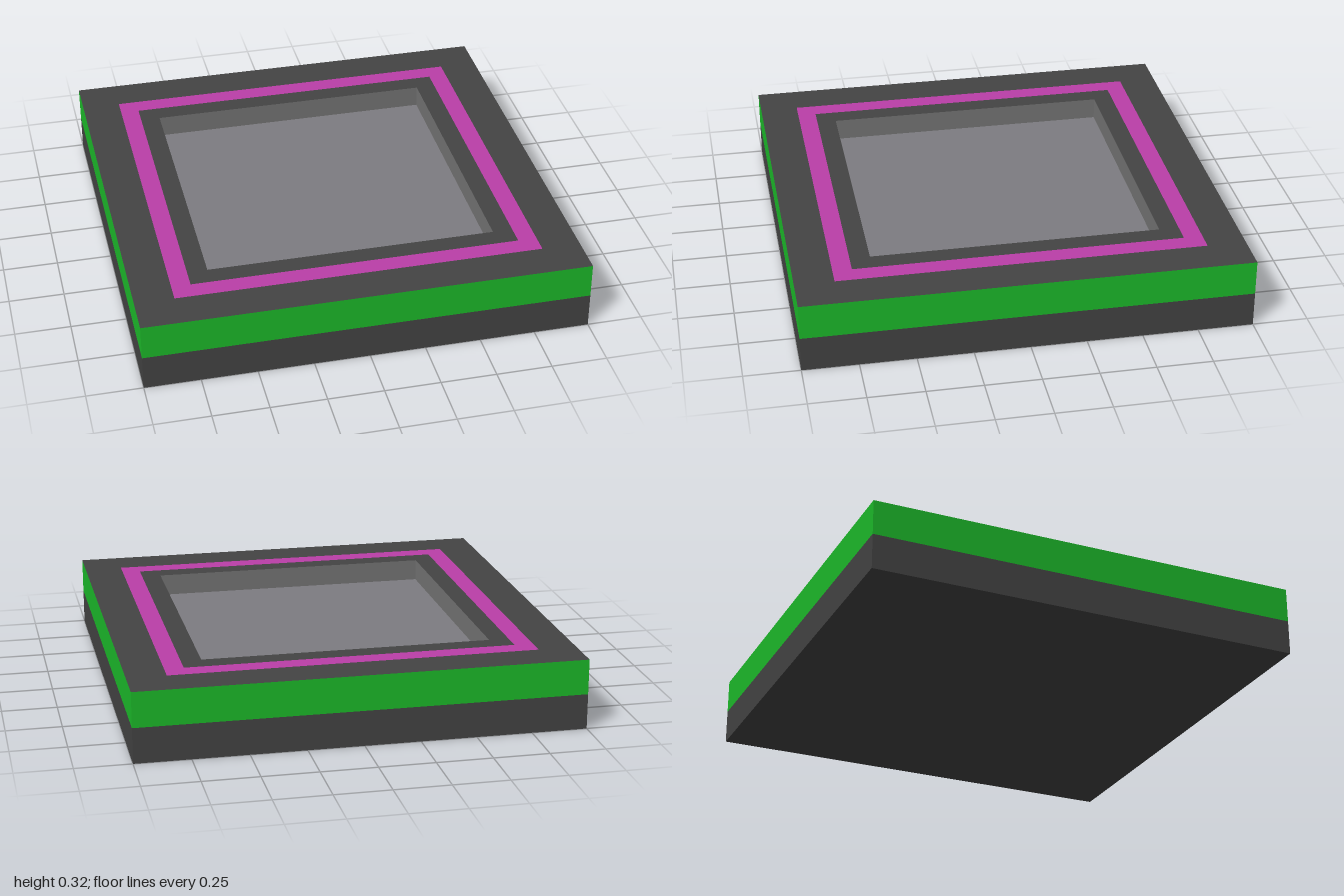
import * as THREE from 'three';
import { mergeGeometries } from 'three/addons/utils/BufferGeometryUtils.js';

const HEIGHT = 0.32, MID = 0.16, FLOOR = 0.22;

// Square outline with the given half width
function square(half, PathType) {
  return new PathType([[-1, -1], [1, -1], [1, 1], [-1, 1]].map(([x, y]) => new THREE.Vector2(x * half, y * half)));
}

// Flat square panel facing up, with an optional square opening
function panel(outer, inner, y) {
  const shape = square(outer, THREE.Shape);
  if (inner) shape.holes.push(square(inner, THREE.Path));
  return new THREE.ShapeGeometry(shape).rotateX(-Math.PI / 2).translate(0, y, 0);
}

// Four upright walls around a square; facing = 1 outward, -1 inward
function walls(half, y0, y1, facing) {
  const sides = [];
  for (let i = 0; i < 4; i++) {
    sides.push(new THREE.PlaneGeometry(half * 2, y1 - y0)
      .translate(0, (y0 + y1) / 2, half * facing)
      .rotateY(i * Math.PI / 2));
  }
  return mergeGeometries(sides);
}

export function createModel() {
  const group = new THREE.Group();
  const add = (name, geometry, material) => {
    const mesh = new THREE.Mesh(geometry, material);
    mesh.name = name;
    group.add(mesh);
  };
  const paint = (color) => new THREE.MeshStandardMaterial({ color });
  const dark = paint(0x444444);
  const green = paint(0x1cbb2a);
  const magenta = paint(0xbb3ea8);
  const grey = paint(0x7d7c81);
  const wallGrey = paint(0x757575);

  // Outer body: dark foot, green band, dark underside
  add('baseSides', walls(1, 0, MID, 1), dark);
  add('underside', panel(1, 0, 0).rotateX(Math.PI), dark);
  add('sideBand', walls(1, MID, HEIGHT, 1), green);

  // Top rim with a flush inlaid stripe
  add('outerRim', panel(1, 0.825, HEIGHT), dark);
  add('inlayStripe', panel(0.825, 0.74, HEIGHT), magenta);
  add('innerRim', panel(0.74, 0.65, HEIGHT), dark);

  // Sunken tray
  add('trayWalls', walls(0.65, FLOOR, HEIGHT, -1), wallGrey);
  add('trayFloor', panel(0.65, 0, FLOOR), grey);

  return group;
}
